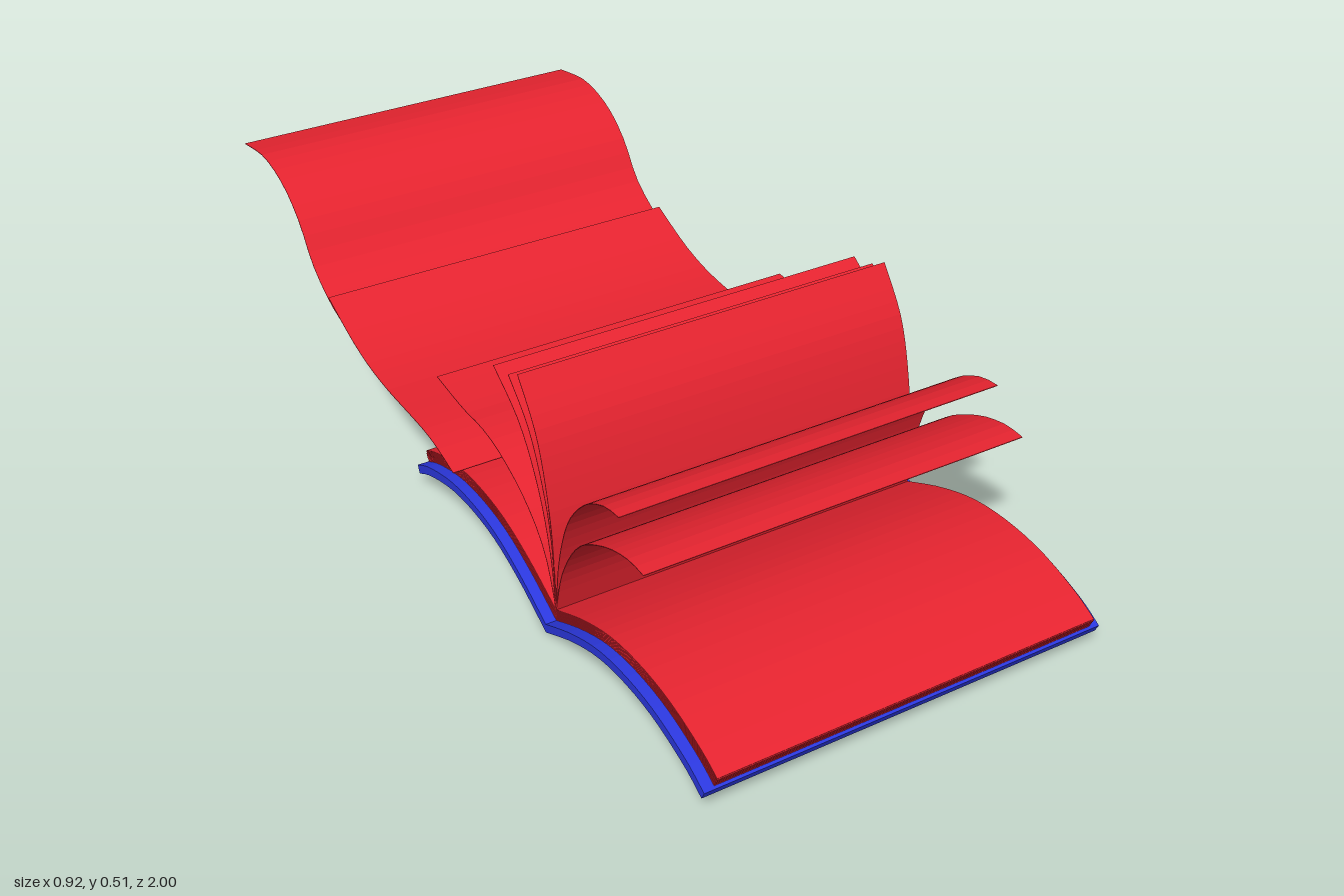
import * as THREE from 'three';

const SPINE_Z = 0.435;
const PAPER = 0.0015;

// Height of the cover's underside against distance from the spine
const arch = new THREE.SplineCurve([
  [0, 0], [0.1, 0.05], [0.2, 0.085], [0.3, 0.097], [0.4, 0.09], [0.5, 0.062], [0.557, 0.034],
].map(([d, y]) => new THREE.Vector2(d, y)));

export function createModel() {
  const book = new THREE.Group();
  book.name = 'openBook';
  const red = new THREE.MeshStandardMaterial({ color: 0xe82430, flatShading: true });
  red.name = 'pageRed';
  const blue = new THREE.MeshStandardMaterial({ color: 0x2c38e0, flatShading: true });
  blue.name = 'coverBlue';

  // Extrude a (z, y) outline along x
  const addSlab = (name, outline, x0, x1, material) => {
    const g = new THREE.ExtrudeGeometry(new THREE.Shape(outline), { depth: x1 - x0, bevelEnabled: false });
    const mesh = new THREE.Mesh(g.rotateY(-Math.PI / 2).translate(x1, 0, 0), material);
    mesh.name = name;
    book.add(mesh);
  };

  // One arched half-profile, raised by lift and cut to a fraction of its length
  const profile = (lift, length, side) =>
    Array.from({ length: 21 }, (_, i) => {
      const p = arch.getPoint((i / 20) * length);
      const out = p.x / 0.557;
      return new THREE.Vector2(SPINE_Z + side * (p.x + 0.4 * lift * out), p.y + lift * (1 - 0.12 * out));
    });

  // Cover: both halves in one folded strip
  const strip = (lift) => [...profile(lift, 1, -1).reverse(), ...profile(lift, 1, 1).slice(1)];
  addSlab('cover', [...strip(0), ...strip(0.02).reverse()], -0.425, 0.457, blue);

  // Page blocks: stacked thin sheets with slightly uneven fore edges
  const sheets = 12;
  for (const [side, name] of [[1, 'frontPageBlock'], [-1, 'backPageBlock']]) {
    for (let i = 0; i < sheets; i++) {
      const lift = 0.0205 + i * 0.0022;
      const length = i % 2 ? 0.969 : 0.975;
      const outline = [...profile(lift, length, side), ...profile(lift + PAPER, length, side).reverse()];
      addSlab(`${name}Sheet${i + 1}`, outline, -0.402, 0.437, red);
    }
  }

  // Single curved leaf of paper thickness through a few (z, y) points
  const addLeaf = (name, points, x0, x1) => {
    const path = new THREE.SplineCurve(points.map(([z, y]) => new THREE.Vector2(z, y)));
    const segments = 18;
    const face = (offset) => Array.from({ length: segments + 1 }, (_, i) => {
      const p = path.getPointAt(i / segments);
      const t = path.getTangentAt(i / segments);
      return new THREE.Vector2(p.x - t.y * offset, p.y + t.x * offset);
    });
    addSlab(name, [...face(-PAPER / 2), ...face(PAPER / 2).reverse()], x0, x1, red);
  };

  // Leaves fanning out from the spine
  const root = [SPINE_Z, 0.045];
  [
    [[0.464, 0.155], [0.528, 0.257], [0.62, 0.318], [0.7, 0.345], [0.757, 0.346]],
    [[0.45, 0.17], [0.487, 0.284], [0.55, 0.365], [0.62, 0.407], [0.673, 0.416]],
    [[0.431, 0.145], [0.415, 0.268], [0.373, 0.407], [0.303, 0.507]],
    [[0.429, 0.145], [0.405, 0.268], [0.346, 0.402], [0.265, 0.486]],
    [[0.416, 0.17], [0.373, 0.295], [0.303, 0.402], [0.204, 0.473]],
    [[0.394, 0.155], [0.32, 0.23], [0.22, 0.279], [0.14, 0.295], [0.06, 0.294], [-0.056, 0.305]],
  ].forEach((points, i) => addLeaf(`fannedLeaf${i + 1}`, [root, ...points], -0.402, 0.435));

  // Loose leaves flying off behind the book
  addLeaf('flyingLeafNear',
    [[0.124, 0.197], [0.008, 0.222], [-0.206, 0.224], [-0.34, 0.246], [-0.475, 0.297]], -0.46, 0.378);
  addLeaf('flyingLeafFar',
    [[-0.42, 0.215], [-0.528, 0.238], [-0.625, 0.295], [-0.689, 0.375], [-0.769, 0.432], [-0.877, 0.457], [-1, 0.44]],
    -0.432, 0.408);

  return book;
}
